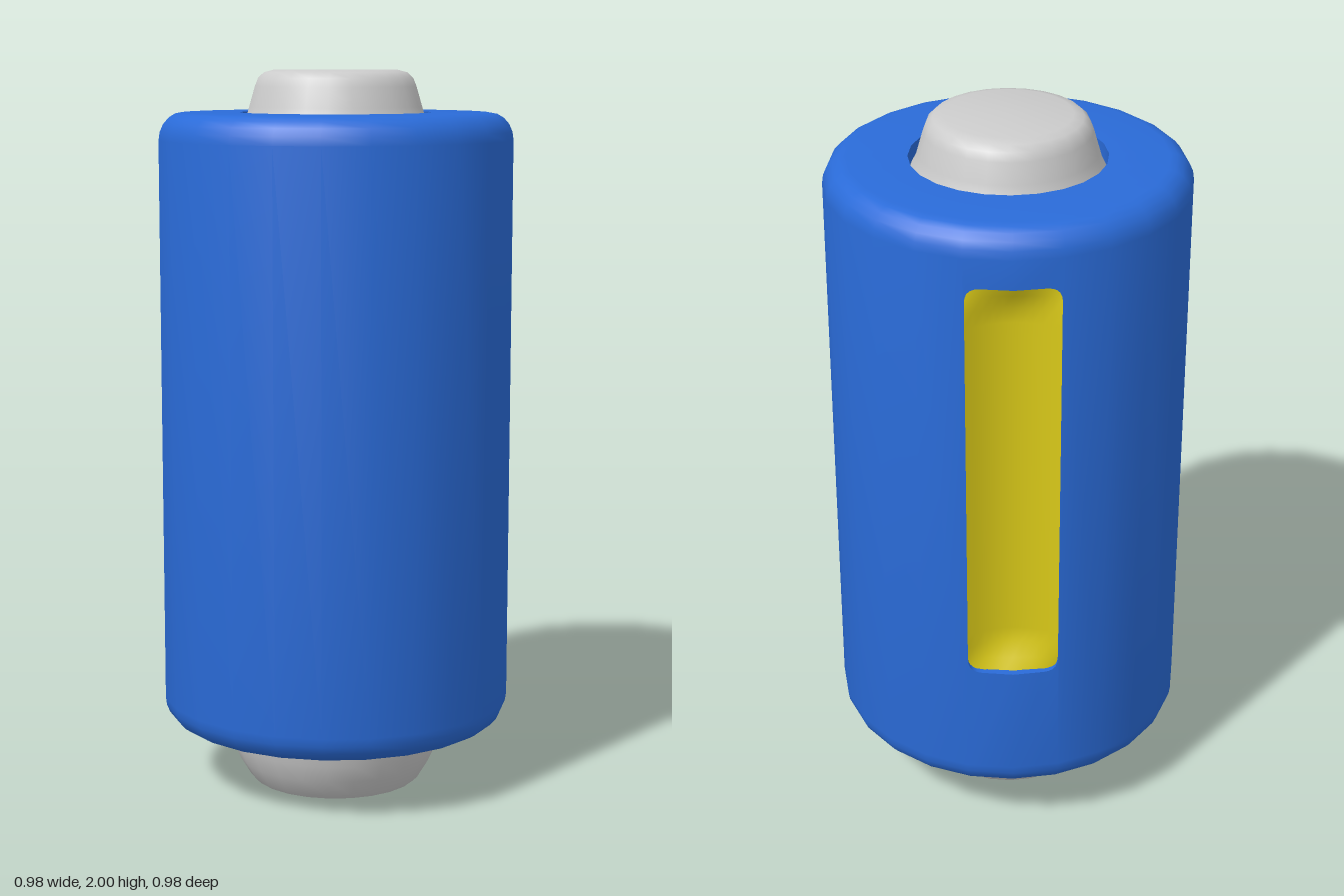
import * as THREE from 'three';
import { mergeGeometries, toCreasedNormals } from 'three/addons/utils/BufferGeometryUtils.js';

const SIDES = 24;
const STEP = (Math.PI * 2) / SIDES;        // angle of one facet
const R = 0.488;                           // shell radius
const W = R * Math.sin(STEP);              // half width of the slot strip
const SLOPE = Math.tan(STEP / 2);
const SLOT_LOW = 0.57, SLOT_HIGH = 1.73;   // slot ends
const STRIP_LOW = 0.25, STRIP_HIGH = 1.81; // straight part of the shell wall

const vectors = (list) => list.map(([x, y]) => new THREE.Vector2(x, y));
const lathe = (list, start = 0, length = Math.PI * 2) =>
  new THREE.LatheGeometry(vectors(list), Math.round(length / STEP), start, length);

function makeMesh(name, geometry, color) {
  const mesh = new THREE.Mesh(geometry, new THREE.MeshStandardMaterial({ color }));
  mesh.name = name;
  return mesh;
}

// Quarter-round shoulder from the wall to the flat end
function shoulder(y, dir) {
  const points = [];
  for (let i = 0; i <= 5; i++) {
    const a = (i / 5) * Math.PI / 2;
    points.push([R - 0.065 + 0.065 * Math.cos(a), y + dir * 0.075 * Math.sin(a)]);
  }
  return points;
}

// One facet of wall beside the slot, with rounded slot corners
function slotWall(side) {
  const edge = W - 0.004, r = 0.04;
  const shape = new THREE.Shape();
  shape.moveTo(0, STRIP_LOW);
  shape.lineTo(side * W, STRIP_LOW);
  shape.lineTo(side * W, STRIP_HIGH);
  shape.lineTo(0, STRIP_HIGH);
  shape.lineTo(0, SLOT_HIGH);
  shape.lineTo(side * (edge - r), SLOT_HIGH);
  shape.quadraticCurveTo(side * edge, SLOT_HIGH, side * edge, SLOT_HIGH - r);
  shape.lineTo(side * edge, SLOT_LOW + r);
  shape.quadraticCurveTo(side * edge, SLOT_LOW, side * (edge - r), SLOT_LOW);
  shape.lineTo(0, SLOT_LOW);
  shape.closePath();
  const geometry = new THREE.ExtrudeGeometry(shape, { depth: 0.02, bevelEnabled: false, curveSegments: 5 });
  const p = geometry.attributes.position;
  for (let i = 0; i < p.count; i++) {
    p.setZ(i, R - Math.abs(p.getX(i)) * SLOPE + p.getZ(i) - 0.02);
  }
  return geometry.rotateY(Math.PI);
}

// Blue shell: wall with a gap at the back, closed above and below the slot
function shellGeometry() {
  const lower = [[0.3, 0.2], [0.3, 0.175], ...shoulder(STRIP_LOW, -1).reverse()];
  const upper = [...shoulder(STRIP_HIGH, 1), [0.263, 1.885], [0.263, 1.83]];
  const gap = Math.PI - STEP;
  const parts = [
    lathe([...lower, ...upper], Math.PI + STEP, Math.PI * 2 - 2 * STEP),
    lathe(lower, gap, 2 * STEP),
    lathe(upper, gap, 2 * STEP),
    slotWall(1),
    slotWall(-1),
  ].map((g) => (g.index ? g.toNonIndexed() : g));
  return toCreasedNormals(mergeGeometries(parts), 0.6);
}

// Yellow scooped panel, rising to the surface at both ends
function panelGeometry() {
  const middle = (SLOT_LOW + SLOT_HIGH) / 2;
  const half = (SLOT_HIGH - SLOT_LOW) / 2 + 0.01;
  const geometry = new THREE.PlaneGeometry(2 * W, 2 * half, 10, 28);
  const p = geometry.attributes.position;
  for (let i = 0; i < p.count; i++) {
    const x = p.getX(i), y = p.getY(i);
    const rim = R - Math.abs(x) * SLOPE - 0.015;
    const scoop = R * Math.cos(STEP) - 0.002 - 0.04 * (1 - (x / W) ** 2);
    const t = THREE.MathUtils.smoothstep(half - Math.abs(y), 0, 0.09);
    p.setXYZ(i, x, y + middle, THREE.MathUtils.lerp(rim, scoop, t));
  }
  geometry.computeVertexNormals();
  return geometry.rotateY(Math.PI);
}

export function createModel() {
  const group = new THREE.Group();
  group.name = 'cell';

  group.add(makeMesh('shell', shellGeometry(), 0x2a6bd8));
  group.add(makeMesh('slotPanel', panelGeometry(), 0xd8c818));

  // Top cap flaring into the recessed hole
  const top = lathe([
    [0.265, 1.835], [0.258, 1.85], [0.246, 1.872], [0.238, 1.9], [0.222, 1.955],
    [0.213, 1.978], [0.197, 1.993], [0.17, 2], [0, 2],
  ]);
  group.add(makeMesh('topCap', toCreasedNormals(top, 0.7), 0xcccccc));

  // Bottom cap with lip, curved side and dished underside
  const bottom = lathe([
    [0, 0.065], [0.07, 0.058], [0.13, 0.038], [0.165, 0.014], [0.18, 0], [0.234, 0],
    [0.246, 0.012], [0.275, 0.06], [0.296, 0.11], [0.306, 0.162],
    [0.326, 0.164], [0.326, 0.178],
  ]);
  group.add(makeMesh('bottomCap', toCreasedNormals(bottom, 0.7), 0xcccccc));

  return group;
}
